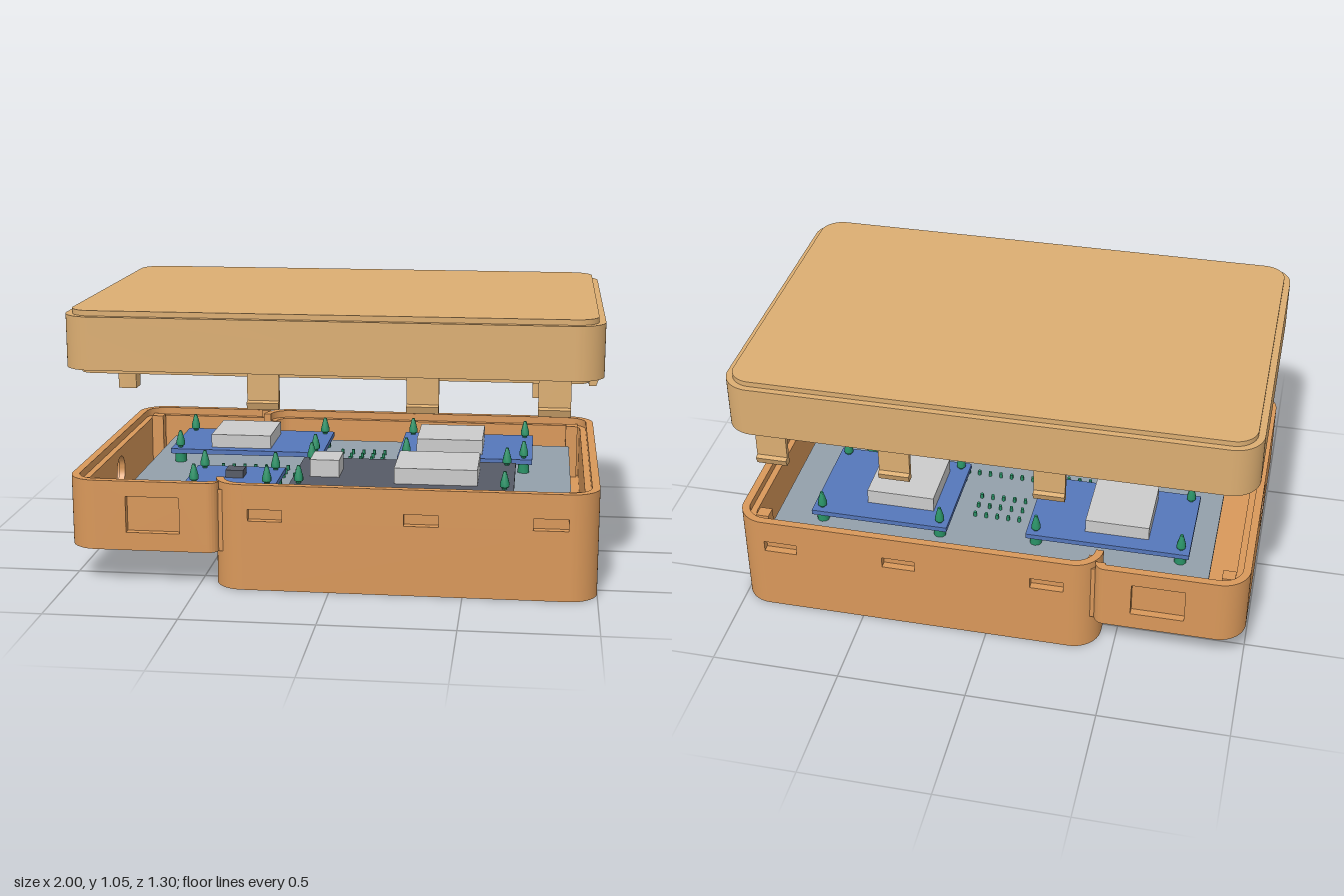
import * as THREE from 'three';
import { toCreasedNormals } from 'three/addons/utils/BufferGeometryUtils.js';

const mat = (color) => new THREE.MeshStandardMaterial({ color });
const LID = mat(0xdcae72), BASE = mat(0xd9985a), PLATE = mat(0x93a0ab), BLUE = mat(0x5577bb);
const DARK = mat(0x565b66), CHIP = mat(0xc6c8c9), GREEN = mat(0x2a9468);
const R = 0.11, RIM = 0.41;

function add(parent, name, geo, material) {
  const m = new THREE.Mesh(geo, material);
  m.name = name;
  parent.add(m);
  return m;
}

function box(parent, name, material, x0, x1, y0, y1, z0, z1) {
  const g = new THREE.BoxGeometry(x1 - x0, y1 - y0, z1 - z0);
  g.translate((x0 + x1) / 2, (y0 + y1) / 2, (z0 + z1) / 2);
  return add(parent, name, g, material);
}

// Rounded rectangle in plan
function rrect(x0, x1, z0, z1, r, s = new THREE.Shape()) {
  s.absarc(x1 - r, z1 - r, r, 0, Math.PI / 2);
  s.absarc(x0 + r, z1 - r, r, Math.PI / 2, Math.PI);
  s.absarc(x0 + r, z0 + r, r, Math.PI, Math.PI * 1.5);
  s.absarc(x1 - r, z0 + r, r, Math.PI * 1.5, Math.PI * 2);
  s.closePath();
  return s;
}

function rectPath(x0, x1, y0, y1) {
  return new THREE.Path([[x0, y0], [x0, y1], [x1, y1], [x1, y0]].map((p) => new THREE.Vector2(...p)));
}

// Plan shape extruded upward from y0 to y1
function rise(shape, y0, y1) {
  const g = new THREE.ExtrudeGeometry(shape, { depth: y1 - y0, bevelEnabled: false, curveSegments: 12 });
  g.rotateX(-Math.PI / 2).translate(0, y0, 0);
  return toCreasedNormals(g, 0.5);
}

const slab = (inset, hole) => {
  const s = rrect(-1 + inset, 1 - inset, -0.65 + inset, 0.65 - inset, R - inset);
  if (hole) s.holes.push(rrect(-1 + hole, 1 - hole, -0.65 + hole, 0.65 - hole, Math.max(R - hole, 0.02), new THREE.Path()));
  return s;
};

// Flat upright wall whose outer face lies at distance d in the given direction
function wall(parent, name, angle, d, t, u0, u1, y0, y1, holes = []) {
  const s = new THREE.Shape([[u0, y0], [u1, y0], [u1, y1], [u0, y1]].map((p) => new THREE.Vector2(...p)));
  s.holes.push(...holes);
  const g = new THREE.ExtrudeGeometry(s, { depth: t, bevelEnabled: false, curveSegments: 24 });
  g.translate(0, 0, d - t).rotateY(angle);
  return add(parent, name, toCreasedNormals(g, 0.5), BASE);
}

// Quarter-round corner of a wall
function corner(parent, cx, cz, sx, sz, r, t, y0, y1) {
  const sy = -sz;
  const a = sx > 0 ? (sy > 0 ? 0 : 1.5) : (sy > 0 ? 0.5 : 1);
  const s = new THREE.Shape();
  s.absarc(cx, -cz, r, a * Math.PI, (a + 0.5) * Math.PI, false);
  if (r - t > 0.001) s.absarc(cx, -cz, r - t, (a + 0.5) * Math.PI, a * Math.PI, true);
  else s.lineTo(cx, -cz);
  s.closePath();
  add(parent, 'wallCorner', rise(s, y0, y1), BASE);
}

function buildBase() {
  const g = new THREE.Group();
  g.name = 'base';
  const slotX = [-0.24, 0.345, 0.822];
  const tunnel = () => rectPath(-0.41, 0.41, 0.03, 0.11);

  // Long walls, mirrored front and back: pocketed skin with a lower backing
  for (const k of [1, -1]) {
    const ang = k > 0 ? 0 : Math.PI;
    const span = (a, b) => (k > 0 ? [a, b] : [-b, -a]);
    const slots = slotX.map((x) => rectPath(...span(x - 0.065, x + 0.065), 0.27, 0.315));
    wall(g, 'mainLongWall', ang, 0.65, 0.03, ...span(-0.33, 0.89), 0, RIM, slots);
    wall(g, 'mainLongWallBacking', ang, 0.62, 0.025, ...span(-0.33, 0.89), 0, 0.38);
    wall(g, 'sideLongWall', ang, 0.65, 0.03, ...span(-0.89, -0.46), 0.14, RIM, [rectPath(...span(-0.77, -0.565), 0.21, 0.35)]);
    wall(g, 'sideLongWallBacking', ang, 0.62, 0.025, ...span(-0.89, -0.4), 0.14, 0.38);
    for (const [r, t, top] of [[R, 0.03, RIM], [0.08, 0.025, 0.38]]) {
      corner(g, 0.89, k * 0.54, 1, k, r, t, 0, top);
      corner(g, -0.33, k * 0.54, -1, k, r, t, 0, top);
      corner(g, -0.89, k * 0.54, -1, k, r, t, 0.14, top);
    }
    corner(g, -0.46, k * 0.61, 1, k, 0.04, 0.04, 0.14, RIM);
    box(g, 'tunnelSide', BASE, -0.42, 0.97, 0.02, 0.13, k * 0.425 - 0.012, k * 0.425 + 0.012);
  }

  // End walls
  wall(g, 'rightWall', Math.PI / 2, 1, 0.03, -0.54, 0.54, 0, RIM, [tunnel(), rectPath(-0.065, 0.065, 0.27, 0.315)]);
  wall(g, 'rightWallBacking', Math.PI / 2, 0.97, 0.025, -0.54, 0.54, 0, 0.38, [tunnel()]);
  wall(g, 'lowerLeftWall', -Math.PI / 2, 0.44, 0.03, -0.54, 0.54, 0, 0.15, [tunnel()]);
  for (const [d, t, top, r] of [[1, 0.03, RIM, 0.09], [0.97, 0.025, 0.38, 0.065]])
    wall(g, 'leftWall', -Math.PI / 2, d, t, -0.54, 0.54, 0.14, top,
      [new THREE.Path().absarc(0.03, 0.28, r, 0, Math.PI * 2, true)]);

  // Floor with its opening, and the deck above the tunnel
  const floor = rrect(-0.435, 0.995, -0.645, 0.645, R);
  floor.holes.push(rectPath(-0.22, 0.75, -0.41, 0.41));
  add(g, 'floor', rise(floor, 0, 0.03), BASE);
  add(g, 'mainDeck', rise(rrect(-0.43, 0.99, -0.64, 0.64, R), 0.115, 0.165), BASE);
  const sideFloor = new THREE.Shape();
  sideFloor.absarc(-0.89, 0.54, R, Math.PI / 2, Math.PI);
  sideFloor.absarc(-0.89, -0.54, R, Math.PI, Math.PI * 1.5);
  sideFloor.absarc(-0.46, -0.61, 0.04, Math.PI * 1.5, Math.PI * 2);
  sideFloor.absarc(-0.46, 0.61, 0.04, 0, Math.PI / 2);
  add(g, 'sideFloor', rise(sideFloor, 0.14, 0.17), BASE);

  // Corner sockets for the lid pegs
  for (const x of [-0.92, 0.91]) for (const z of [-0.56, 0.56])
    box(g, 'cornerSocket', BASE, x - 0.025, x + 0.025, 0.16, 0.39, z - 0.025, z + 0.025);
  return g;
}

function buildElectronics() {
  const g = new THREE.Group();
  g.name = 'electronics';
  box(g, 'mountingPlate', PLATE, -0.84, 0.9, 0.28, 0.3, -0.54, 0.54);

  // Boards: extents x0, x1, z0, z1
  const boards = [
    ['darkBoard', DARK, -0.18, 0.68, 0.01, 0.45],
    ['smallBoard', BLUE, -0.585, -0.23, 0.19, 0.475],
    ['rearRightBoard', BLUE, 0.195, 0.745, -0.475, -0.045],
    ['rearLeftBoard', BLUE, -0.755, -0.115, -0.445, -0.065],
  ];
  for (const [name, m, x0, x1, z0, z1] of boards) {
    box(g, name, m, x0, x1, 0.34, 0.36, z0, z1);
    // Snap standoff at each board corner
    for (const x of [x0 + 0.035, x1 - 0.035]) for (const z of [z0 + 0.035, z1 - 0.035]) {
      const profile = [[0, 0.3], [0.024, 0.3], [0.024, 0.34], [0.01, 0.34], [0.01, 0.365], [0.018, 0.37], [0.018, 0.385], [0.006, 0.43], [0, 0.43]];
      const geo = new THREE.LatheGeometry(profile.map((p) => new THREE.Vector2(...p)), 10);
      add(g, 'standoff', toCreasedNormals(geo, 0.7), GREEN).position.set(x, 0, z);
    }
  }

  // Chips
  box(g, 'darkBoardChip', CHIP, 0.22, 0.54, 0.36, 0.422, 0.105, 0.385);
  box(g, 'connector', CHIP, -0.115, 0, 0.36, 0.428, 0.175, 0.315);
  box(g, 'smallChip', DARK, -0.44, -0.37, 0.36, 0.39, 0.3, 0.37);
  box(g, 'rearRightChip', CHIP, 0.27, 0.54, 0.36, 0.42, -0.38, -0.11);
  box(g, 'rearLeftChip', CHIP, -0.59, -0.34, 0.36, 0.415, -0.38, -0.11);

  // Rows of solder pins on the plate: start x, start z, columns, rows
  for (const [px, pz, nx, nz] of [[-0.52, 0.0, 9, 3], [-0.06, -0.3, 5, 3], [-0.15, -0.03, 18, 1]])
    for (let i = 0; i < nx; i++) for (let j = 0; j < nz; j++)
      add(g, 'pin', new THREE.CylinderGeometry(0.007, 0.007, 0.02, 6), GREEN)
        .position.set(px + i * 0.045, 0.31, pz + j * 0.06);
  return g;
}

function buildLid() {
  const g = new THREE.Group();
  g.name = 'lid';
  add(g, 'lidWall', rise(slab(0, 0.055), 0.83, 1.03), LID);
  add(g, 'lidLip', rise(slab(0.054, 0.08), 0.81, 1.01), LID);
  add(g, 'lidTop', rise(slab(0.025), 1.0, 1.05), LID);

  // Snap clip: strap with an outward hook
  const clipShape = new THREE.Shape([[0.61, 0.86], [0.61, 0.695], [0.638, 0.695], [0.648, 0.722], [0.63, 0.728], [0.63, 0.86]]
    .map((p) => new THREE.Vector2(...p)));
  const clip = (w) => new THREE.ExtrudeGeometry(clipShape, { depth: w, bevelEnabled: false }).translate(0, 0, -w / 2);
  for (const x of [-0.243, 0.345, 0.822]) for (const k of [1, -1]) {
    const m = add(g, 'longSideClip', clip(0.118), LID);
    m.rotation.y = -k * Math.PI / 2;
    m.position.x = x;
  }
  add(g, 'endClip', clip(0.12), LID).position.x = 0.35;

  // Hollow pegs at the corners
  for (const x of [-0.78, 0.775]) for (const z of [-0.487, 0.487]) {
    const s = rrect(x - 0.034, x + 0.034, z - 0.034, z + 0.034, 0.002);
    s.holes.push(rectPath(x - 0.018, x + 0.018, z - 0.018, z + 0.018));
    add(g, 'cornerPeg', rise(s, 0.74, 1.01), LID);
  }
  return g;
}

export function createModel() {
  const model = new THREE.Group();
  model.name = 'electronicsEnclosure';
  model.add(buildBase(), buildElectronics(), buildLid());
  return model;
}
